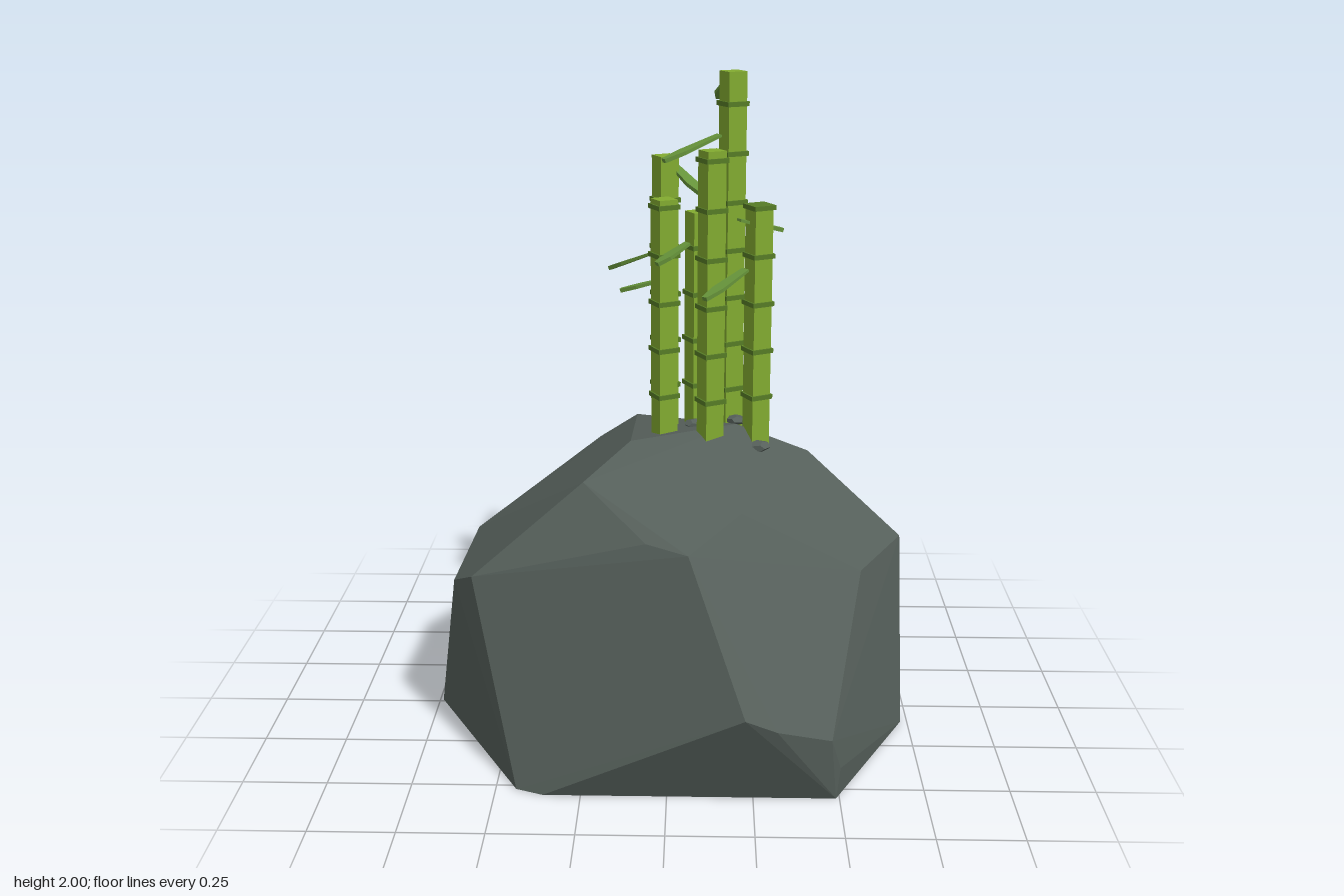
import * as THREE from 'three';
import { ConvexGeometry } from 'three/addons/geometries/ConvexGeometry.js';

const flat = (name, color) => new THREE.MeshStandardMaterial({ name, color, flatShading: true });

export function createModel() {
  const stone = flat('stone', 0x56605b);
  const cane = flat('cane', 0x82ab30);
  const joint = flat('joint', 0x567c26);
  const foliage = flat('foliage', 0x66933a);
  const model = new THREE.Group();
  model.name = 'bambooRock';

  const add = (parent, name, geometry, material, x = 0, y = 0, z = 0) => {
    const mesh = new THREE.Mesh(geometry, material);
    mesh.name = name;
    mesh.position.set(x, y, z);
    parent.add(mesh);
    return mesh;
  };

  // Faceted boulder: hull of its corners, listed by ring
  const bottom = [[0.73, 0.1], [0.49, 0.55], [-0.36, 0.55], [-0.44, 0.52], [-0.74, -0.01],
    [-0.71, -0.24], [-0.66, -0.32], [-0.27, -0.64], [0.22, -0.69], [0.6, -0.39]]
    .map(([x, z]) => [x, 0, z]);
  const middle = [
    [0.72, 0.57, -0.06], [0.57, 0.58, 0.24], [0.5, 0.1, 0.55], [0.47, 0.21, 0.59],
    [0.31, 0.28, 0.67], [0.22, 0.33, 0.7], [-0.58, 0.58, 0.31], [-0.65, 0.52, 0.2],
    [-0.66, 0.32, -0.32], [-0.63, 0.53, -0.2], [-0.27, 0.58, -0.64], [0.1, 0.48, -0.66],
    [0.27, 0.23, -0.7], [0.58, 0.35, -0.49], [0.6, 0.43, -0.44], [0.57, 0.6, -0.28],
  ];
  const upper = [
    [0.06, 0.75, 0.54], [-0.06, 0.76, 0.48], [0.21, 0.81, 0.37], [-0.25, 0.86, 0.26],
    [-0.12, 0.92, 0.06], [0.2, 0.95, -0.02], [0.43, 0.82, -0.15], [0.38, 0.71, -0.4],
    [0, 0.75, -0.55], [-0.12, 0.85, -0.42], [-0.25, 0.74, -0.51], [-0.18, 0.64, -0.64],
  ];
  const corners = [...bottom, ...middle, ...upper].map((p) => new THREE.Vector3(...p));
  add(model, 'boulder', new ConvexGeometry(corners), stone);

  // Square canes with a joint ring at regular heights
  const canes = [
    [0.18, -0.12, 2.0], [0.12, 0.025, 1.79], [-0.02, -0.15, 1.75],
    [-0.02, -0.03, 1.64], [0.26, -0.03, 1.62], [0.08, -0.16, 1.58],
  ];
  const base = 0.86;
  const ringGeometry = new THREE.BoxGeometry(0.071, 0.014, 0.071);
  for (const [x, z, top] of canes) {
    const stalk = new THREE.Group();
    stalk.name = 'stalk';
    stalk.position.set(x, 0, z);
    stalk.rotation.y = 0.5;
    model.add(stalk);
    add(stalk, 'cane', new THREE.BoxGeometry(0.06, top - base, 0.06), cane, 0, (top + base) / 2, 0);
    for (let y = 1.04; y < top; y += 0.1445) add(stalk, 'jointRing', ringGeometry, joint, 0, y, 0);
  }

  // Leaves: a thin blade narrowing to both ends, running from root to tip
  const blade = new THREE.CylinderGeometry(0.5, 0.3, 1, 4, 3).rotateY(Math.PI / 4).rotateX(Math.PI / 2);
  const p = blade.attributes.position;
  for (let i = 0; i < p.count; i++) {
    if (p.getZ(i) > 0.4) p.setX(i, p.getX(i) * 0.4);
  }
  blade.scale(0.065, 0.018, 1).translate(0, 0, 0.5);
  const leaves = [
    [[0.16, 1.96, -0.16], [0.14, 1.9, -0.35]],
    [[-0.05, 1.47, -0.08], [-0.19, 1.4, -0.18]],
    [[0, 1.37, -0.18], [-0.16, 1.32, -0.22]],
    [[0.22, 1.44, 0.02], [0.1, 1.38, 0.14]],
    [[0.14, 1.82, -0.07], [-0.02, 1.76, 0.03]],
    [[0.2, 1.58, -0.02], [0.33, 1.54, -0.08]],
    [[0, 1.72, -0.18], [0.09, 1.65, -0.06]],
    [[0.05, 1.51, -0.02], [-0.04, 1.46, 0.04]],
    [[0.15, 1.58, -0.24], [0.26, 1.55, -0.14]],
  ];
  for (const [root, tip] of leaves) {
    const a = new THREE.Vector3(...root);
    const b = new THREE.Vector3(...tip);
    const leaf = add(model, 'leaf', blade, foliage, ...root);
    leaf.lookAt(b);
    leaf.scale.z = a.distanceTo(b);
  }

  // Pebbles around the foot of the canes
  for (const [x, y, z, s] of [[0.27, 0.89, 0.01, 0.035], [0.22, 0.89, -0.2, 0.045], [0.07, 0.93, -0.08, 0.03], [0.2, 0.95, -0.06, 0.03]]) {
    const pebble = add(model, 'pebble', new THREE.DodecahedronGeometry(s), stone, x, y, z);
    pebble.scale.y = 0.5;
    pebble.rotation.y = x * 9;
  }
  return model;
}
